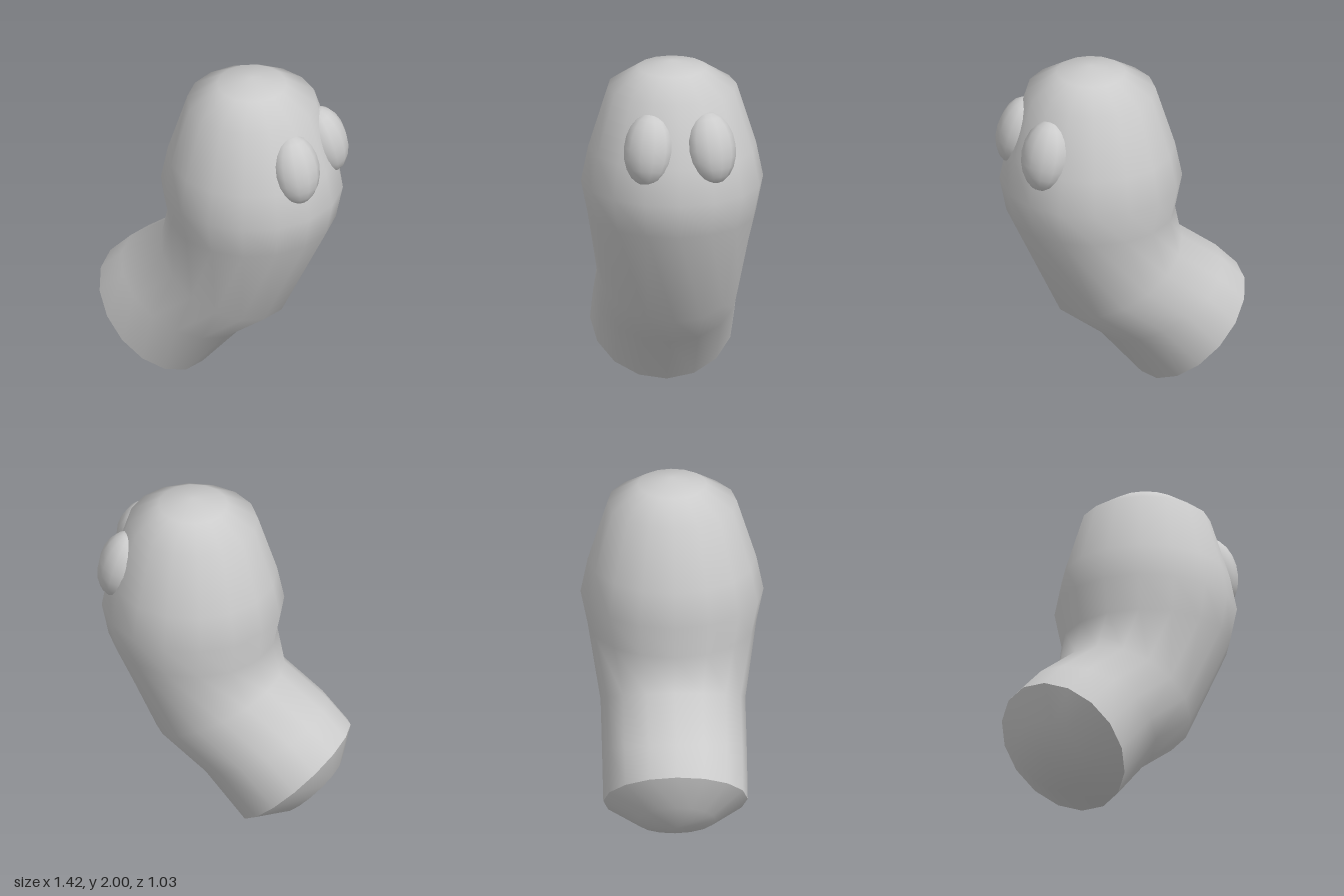
import * as THREE from 'three';
import { mergeVertices } from 'three/addons/utils/BufferGeometryUtils.js';

const SIDES = 16;
const material = new THREE.MeshStandardMaterial({ color: 0xcccccc });

// Skin round rings; each ring is given by its back and front points [x, y, x, y] in the z = 0 plane
function skin(rings) {
  const positions = [], index = [];
  rings.forEach(([bx, by, fx, fy], i) => {
    const radius = Math.hypot(fx - bx, fy - by) / 2;
    for (let j = 0; j < SIDES; j++) {
      const a = (j / SIDES) * Math.PI * 2, c = Math.cos(a) / 2;
      positions.push((bx + fx) / 2 + (fx - bx) * c, (by + fy) / 2 + (fy - by) * c, radius * Math.sin(a));
      if (i === rings.length - 1) continue;
      const k = (j + 1) % SIDES, p = i * SIDES, q = p + SIDES;
      index.push(p + j, p + k, q + j, p + k, q + k, q + j);
    }
  });
  let geometry = new THREE.BufferGeometry();
  geometry.setAttribute('position', new THREE.Float32BufferAttribute(positions, 3));
  geometry.setIndex(index);
  geometry = mergeVertices(geometry, 1e-4); // welds the poles
  geometry.computeVertexNormals();
  return geometry;
}

function addMesh(parent, name, geometry) {
  const mesh = new THREE.Mesh(geometry, material);
  mesh.name = name;
  parent.add(mesh);
  return mesh;
}

export function createModel() {
  const model = new THREE.Group();
  model.name = 'bentBody';

  // Rounded head running down into the bent tail
  const rim = [-0.71, 0.56, -0.12, 0];
  addMesh(model, 'body', skin([
    [0.195, 2, 0.195, 2],
    [0, 1.96, 0.39, 1.96],
    [-0.17, 1.85, 0.56, 1.85],
    [-0.28, 1.5, 0.67, 1.5],
    [-0.32, 1.3, 0.71, 1.3],
    [-0.28, 1.1, 0.67, 1.1],
    [-0.325, 0.9, 0.385, 0.5],
    [-0.58, 0.7, 0.13, 0.3],
    rim,
  ]));

  // Shallow dome closing the tail behind a sharp rim
  addMesh(model, 'tailCap', skin([
    rim,
    [-0.67, 0.35, -0.35, 0.04],
    [-0.54, 0.16, -0.54, 0.16],
  ]));

  // Two oval eyes, turned outward and leaning back
  for (const side of [1, -1]) {
    const eye = addMesh(model, side > 0 ? 'frontEye' : 'backEye', new THREE.SphereGeometry(1, 12, 10));
    eye.scale.set(0.125, 0.205, 0.145);
    eye.position.set(0.563, 1.595, side > 0 ? 0.168 : -0.186);
    eye.rotation.set(0, -side * 0.42, 0.27, 'YZX');
  }
  return model;
}
